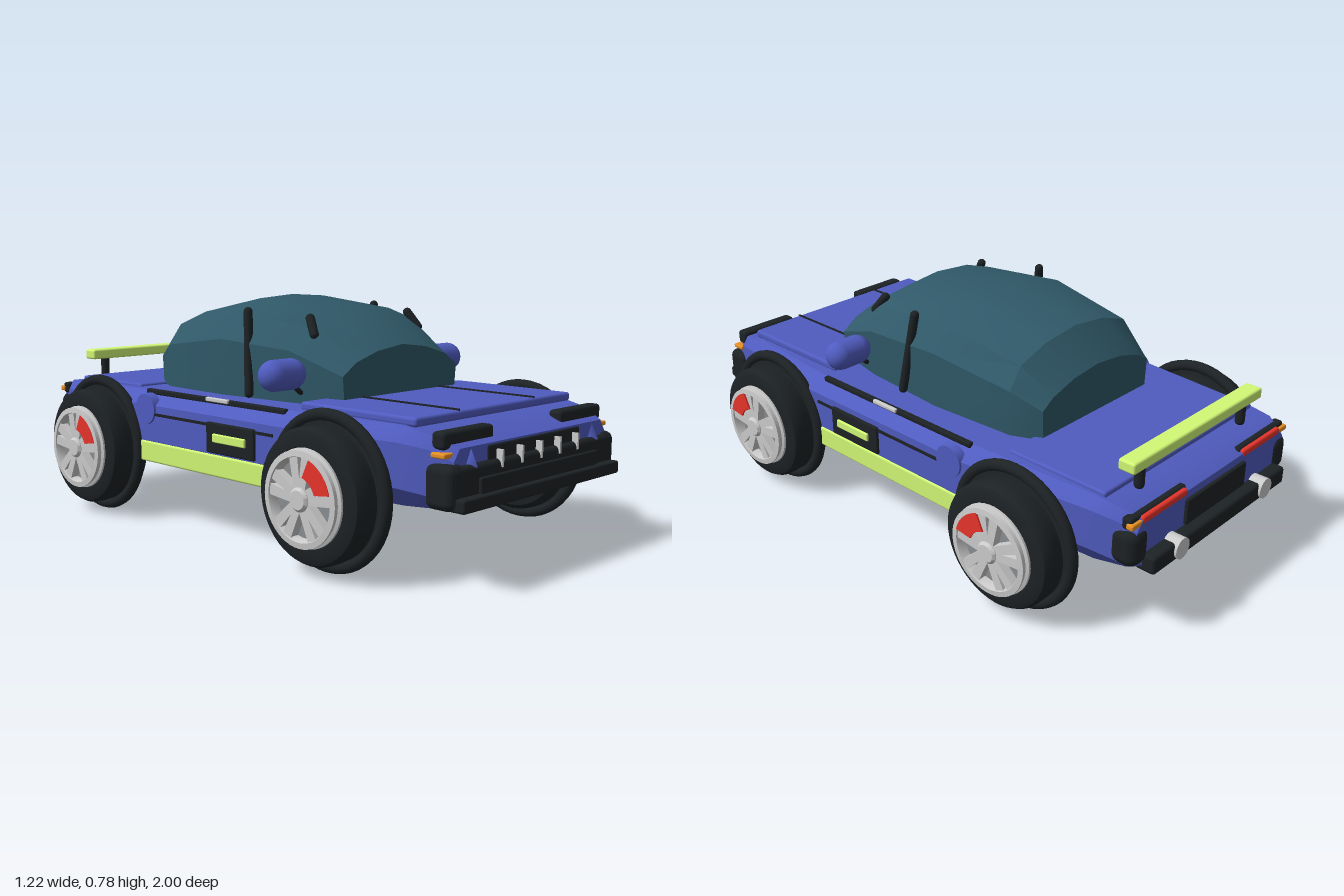
import * as THREE from 'three';
import { toCreasedNormals } from 'three/addons/utils/BufferGeometryUtils.js';
import { RoundedBoxGeometry } from 'three/addons/geometries/RoundedBoxGeometry.js';

const mat = color => new THREE.MeshStandardMaterial({ color });
const blue = mat(0x505cc0), glass = mat(0x305969), lime = mat(0xd2f876), black = mat(0x1d2225);
const red = mat(0xe8342c), orange = mat(0xe89024), silver = mat(0xcccccc), grey = mat(0x8a8e91);

function add(parent, name, geometry, material, x = 0, y = 0, z = 0) {
  const mesh = new THREE.Mesh(geometry, material);
  mesh.name = name;
  mesh.position.set(x, y, z);
  parent.add(mesh);
  return mesh;
}

// Box given by its minimum and maximum corners, optionally rounded
function box(parent, name, material, [x0, y0, z0], [x1, y1, z1], r = 0) {
  const d = [x1 - x0, y1 - y0, z1 - z0];
  const g = r ? new RoundedBoxGeometry(...d, 3, r) : new THREE.BoxGeometry(...d);
  return add(parent, name, g, material, (x0 + x1) / 2, (y0 + y1) / 2, (z0 + z1) / 2);
}

// Rod between two points
function rod(parent, name, material, a, b, r) {
  const p = new THREE.Vector3(...a), q = new THREE.Vector3(...b);
  const d = q.clone().sub(p);
  const m = add(parent, name, new THREE.CapsuleGeometry(r, d.length(), 6, 20), material);
  m.position.copy(p).add(q).multiplyScalar(0.5);
  m.quaternion.setFromUnitVectors(new THREE.Vector3(0, 1, 0), d.normalize());
}

// Skin over mirrored half sections, front to back, each listed bottom to top
function loft(sections, crease) {
  const rings = sections.map(({ z, half }) => {
    const mirrored = half.slice(1, -1).reverse().map(([x, y]) => [-x, y]);
    return [...half, ...mirrored].map(([x, y]) => [x, y, z]);
  });
  const n = rings[0].length, index = [];
  for (let i = 0; i < rings.length - 1; i++) {
    for (let j = 0; j < n; j++) {
      const a = i * n + j, b = i * n + (j + 1) % n;
      index.push(a, a + n, b + n, a, b + n, b);
    }
  }
  const last = (rings.length - 1) * n;
  for (let j = 1; j < n - 1; j++) index.push(0, j, j + 1, last, last + j + 1, last + j);
  const g = new THREE.BufferGeometry();
  g.setAttribute('position', new THREE.Float32BufferAttribute(rings.flat(2), 3));
  g.setIndex(index);
  g.computeVertexNormals();
  return toCreasedNormals(g, crease);
}

// Solid of revolution about the x axis, profile as [radius, x], outer wall running towards +x
function turned(points) {
  const g = new THREE.LatheGeometry(points.map(([r, x]) => new THREE.Vector2(r, x)), 48);
  return toCreasedNormals(g.rotateZ(-Math.PI / 2), 0.6);
}

function makeWheel() {
  const wheel = new THREE.Group();
  wheel.name = 'wheel';
  add(wheel, 'tyre', turned([[0, 0.425], [0.15, 0.42], [0.185, 0.425], [0.2, 0.44], [0.2, 0.505],
    [0.203, 0.52], [0.203, 0.555], [0.195, 0.569], [0.18, 0.575], [0.148, 0.575], [0.135, 0.56], [0, 0.56]]), black);
  add(wheel, 'archRing', new THREE.TorusGeometry(0.224, 0.019, 12, 48).rotateY(Math.PI / 2), black, 0.483, 0.007);
  add(wheel, 'archWeb', turned([[0.18, 0.468], [0.222, 0.475], [0.222, 0.491], [0.18, 0.497]]), black, 0, 0.005);
  add(wheel, 'rimBack', turned([[0.135, 0.556], [0.135, 0.572], [0, 0.572]]), grey);
  add(wheel, 'rimRing', turned([[0.14, 0.556], [0.146, 0.572], [0.146, 0.58], [0.136, 0.584], [0.136, 0.592],
    [0.142, 0.596], [0.142, 0.602], [0.124, 0.604], [0.118, 0.59], [0.118, 0.56]]), silver);
  add(wheel, 'hub', turned([[0.036, 0.56], [0.036, 0.602], [0.028, 0.61], [0, 0.61]]), silver);
  // Tapered split spokes
  for (let i = 0; i < 5; i++) {
    const s = new THREE.Shape([[-0.02, 0.02], [0.02, 0.02], [0.042, 0.122], [0.008, 0.122], [0, 0.06],
      [-0.008, 0.122], [-0.042, 0.122]].map(p => new THREE.Vector2(...p)));
    const g = new THREE.ExtrudeGeometry(s, { depth: 0.03, bevelEnabled: false });
    add(wheel, 'spoke', g.rotateZ(i * Math.PI * 0.4).rotateY(Math.PI / 2), silver, 0.57);
  }
  // Brake caliper
  const arc = new THREE.Shape();
  arc.absarc(0, 0, 0.126, 1.9, 2.9, false);
  arc.absarc(0, 0, 0.068, 2.8, 1.8, true);
  add(wheel, 'caliper', new THREE.ExtrudeGeometry(arc, { depth: 0.044, bevelEnabled: false })
    .rotateY(Math.PI / 2), red, 0.562);
  return wheel;
}

// Everything that exists once on each side, drawn for +x
function makeSide() {
  const side = new THREE.Group();
  for (const z of [0.572, -0.57]) {
    const wheel = makeWheel();
    wheel.position.set(0, 0.24, z);
    side.add(wheel);
  }
  // Flank
  box(side, 'sill', lime, [0.42, 0.212, -0.38], [0.489, 0.285, 0.38], 0.008);
  box(side, 'ventPanel', black, [0.46, 0.29, 0.03], [0.495, 0.39, 0.26], 0.006);
  box(side, 'ventInsert', lime, [0.47, 0.328, 0.07], [0.503, 0.356, 0.225], 0.004);
  box(side, 'flankGroove', black, [0.47, 0.376, -0.25], [0.49, 0.385, 0.34]);
  box(side, 'shoulderTrim', black, [0.427, 0.44, -0.35], [0.447, 0.458, 0.35], 0.005);
  box(side, 'doorHandle', silver, [0.44, 0.447, -0.02], [0.454, 0.461, 0.09], 0.004);
  const cap = new THREE.CylinderGeometry(0.052, 0.055, 0.03, 32).rotateZ(-Math.PI / 2);
  add(side, 'fuelCap', cap, blue, 0.477, 0.395, -0.3);
  // Cabin fittings
  rod(side, 'doorPillar', black, [0.338, 0.47, 0.065], [0.308, 0.735, 0.03], 0.015);
  rod(side, 'windscreenClip', black, [0.255, 0.67, 0.285], [0.238, 0.72, 0.25], 0.015);
  rod(side, 'mirror', blue, [0.355, 0.553, 0.28], [0.425, 0.553, 0.28], 0.05);
  rod(side, 'mirrorArm', black, [0.31, 0.49, 0.28], [0.36, 0.53, 0.28], 0.008);
  // Nose
  box(side, 'headlightCover', black, [0.17, 0.4, 0.88], [0.4, 0.45, 0.927], 0.012);
  box(side, 'headlightStrip', silver, [0.19, 0.39, 0.9], [0.365, 0.402, 0.938], 0.004);
  box(side, 'frontIndicator', orange, [0.365, 0.38, 0.89], [0.414, 0.395, 0.94], 0.005);
  box(side, 'frontCorner', black, [0.35, 0.235, 0.87], [0.42, 0.365, 0.97], 0.025);
  add(side, 'bumperBracket', new THREE.ConeGeometry(0.03, 0.06, 4), blue, 0.31, 0.38, 0.945);
  box(side, 'hoodLine', black, [0.187, 0.47, 0.41], [0.193, 0.483, 0.815]);
  // Tail
  box(side, 'tailLight', red, [0.15, 0.395, -0.952], [0.37, 0.42, -0.93], 0.008);
  box(side, 'rearIndicator', orange, [0.365, 0.393, -0.95], [0.418, 0.412, -0.925], 0.006);
  box(side, 'lightSurround', black, [0.14, 0.385, -0.94], [0.412, 0.425, -0.905], 0.01);
  box(side, 'rearCorner', black, [0.335, 0.26, -0.96], [0.42, 0.385, -0.865], 0.035);
  const pipe = new THREE.CylinderGeometry(0.034, 0.034, 0.07, 24).rotateX(Math.PI / 2);
  add(side, 'exhaust', pipe, silver, 0.23, 0.272, -0.965);
  rod(side, 'spoilerPost', black, [0.27, 0.45, -0.86], [0.27, 0.52, -0.86], 0.016);
  return side;
}

export function createModel() {
  const model = new THREE.Group();
  model.name = 'car';

  // Hull rows: z, floor half width, flank half width, deck half width, floor y, waist y, shoulder y, deck y
  const hull = [
    [0.95, 0.34, 0.385, 0.36, 0.225, 0.265, 0.37, 0.405],
    [0.88, 0.37, 0.41, 0.39, 0.21, 0.27, 0.4, 0.435],
    [0.78, 0.39, 0.43, 0.4, 0.206, 0.28, 0.41, 0.455],
    [0.38, 0.42, 0.485, 0.43, 0.206, 0.285, 0.41, 0.455],
    [-0.36, 0.42, 0.485, 0.43, 0.206, 0.285, 0.41, 0.45],
    [-0.8, 0.39, 0.43, 0.4, 0.206, 0.28, 0.41, 0.445],
    [-0.9, 0.37, 0.41, 0.39, 0.215, 0.27, 0.4, 0.435],
    [-0.95, 0.34, 0.395, 0.37, 0.23, 0.27, 0.38, 0.41],
  ].map(([z, f, w, d, y0, y1, y2, y3]) => (
    { z, half: [[0, y0], [0.24, y0], [f, y0 + 0.018], [w, y1], [w, y2], [d, y3], [0, y3]] }));
  add(model, 'body', loft(hull, 0.45), blue);

  // Glazed cabin
  const cabin = [
    [0.435, [[0, 0.44], [0.27, 0.44], [0.28, 0.55], [0.22, 0.59], [0.12, 0.62], [0, 0.635]]],
    [0.24, [[0, 0.44], [0.31, 0.44], [0.32, 0.62], [0.265, 0.7], [0.15, 0.738], [0, 0.752]]],
    [-0.08, [[0, 0.44], [0.332, 0.44], [0.335, 0.64], [0.28, 0.725], [0.155, 0.77], [0, 0.78]]],
    [-0.39, [[0, 0.44], [0.31, 0.44], [0.31, 0.6], [0.26, 0.67], [0.145, 0.71], [0, 0.727]]],
    [-0.49, [[0, 0.44], [0.262, 0.44], [0.268, 0.55], [0.22, 0.582], [0.12, 0.612], [0, 0.625]]],
  ].map(([z, half]) => ({ z, half }));
  add(model, 'cabin', loft(cabin, 0.55), glass);

  // Hood and rear deck
  box(model, 'hood', blue, [-0.39, 0.45, 0.36], [0.39, 0.478, 0.82], 0.01);
  box(model, 'rearDeck', blue, [-0.39, 0.435, -0.83], [0.39, 0.458, -0.46], 0.008);

  // Front bumper and grille
  box(model, 'frontBumper', black, [-0.41, 0.24, 0.92], [0.41, 0.358, 0.972], 0.018);
  box(model, 'bumperLip', black, [-0.4, 0.235, 0.94], [0.4, 0.275, 1], 0.008);
  box(model, 'bumperInset', black, [-0.3, 0.27, 0.95], [0.3, 0.32, 0.982], 0.005);
  box(model, 'grille', black, [-0.235, 0.33, 0.91], [0.235, 0.4, 0.955], 0.008);
  for (let i = -2; i <= 2; i++) {
    box(model, 'grilleSlat', silver, [i * 0.097 - 0.004, 0.335, 0.94], [i * 0.097 + 0.004, 0.385, 0.976]);
  }

  // Rear bumper, panel and spoiler
  box(model, 'rearBumper', black, [-0.36, 0.235, -0.992], [0.36, 0.295, -0.92], 0.012);
  box(model, 'rearPanel', black, [-0.16, 0.3, -0.962], [0.16, 0.385, -0.93], 0.006);
  box(model, 'spoiler', lime, [-0.34, 0.515, -0.89], [0.34, 0.552, -0.83], 0.008);

  for (const s of [1, -1]) {
    const side = makeSide();
    side.name = s > 0 ? 'leftSide' : 'rightSide';
    side.scale.x = s;
    model.add(side);
  }
  return model;
}
